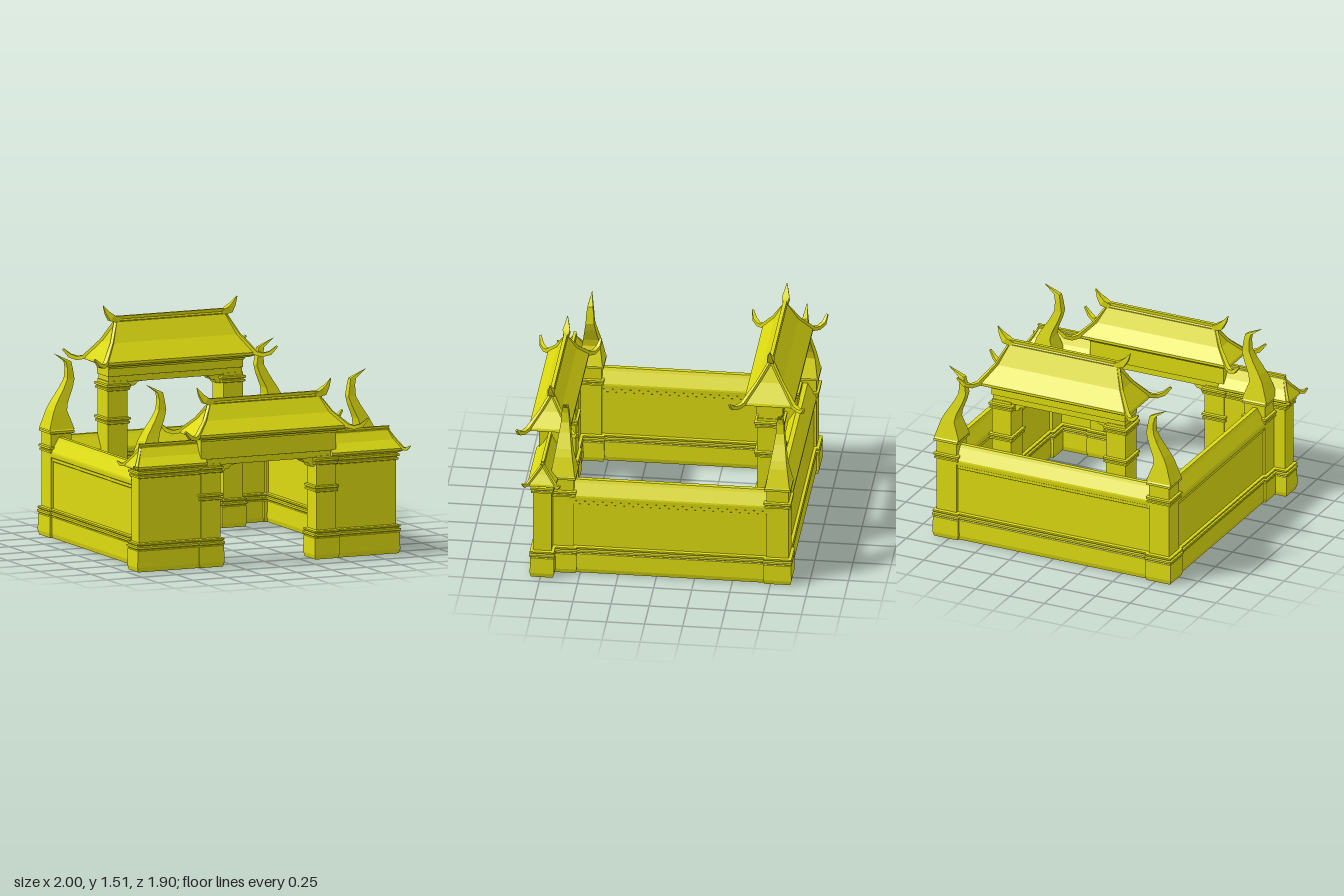
import * as THREE from 'three';

const yellow = new THREE.MeshStandardMaterial({ color: 0xdcda10 });
yellow.name = 'yellow';
const V = (x, y, z) => new THREE.Vector3(x, y, z);

// Flat-faced solid through a list of four-cornered rings, closed at both ends
function solid(name, rings) {
  const tris = [];
  const quad = (a, b, c, d) => tris.push([a, b, c], [a, c, d]);
  for (let i = 0; i < rings.length - 1; i++) {
    for (let k = 0; k < 4; k++) {
      const n = (k + 1) % 4;
      quad(rings[i][k], rings[i][n], rings[i + 1][n], rings[i + 1][k]);
    }
  }
  const last = rings[rings.length - 1];
  quad(...[...rings[0]].reverse());
  quad(...last);
  // Turn the faces outwards whatever the direction of the rings
  let volume = 0;
  for (const [a, b, c] of tris) volume += a.dot(b.clone().cross(c));
  if (volume < 0) tris.forEach((t) => t.reverse());
  const g = new THREE.BufferGeometry().setFromPoints(tris.flat());
  g.computeVertexNormals();
  const mesh = new THREE.Mesh(g, yellow);
  mesh.name = name;
  return mesh;
}

// Upright solid from levels [y, halfX, halfZ, shiftX]
function stack(name, cx, cz, levels) {
  return solid(name, levels.map(([y, hx, hz, dx = 0]) => {
    const x = cx + dx;
    return [V(x - hx, y, cz - hz), V(x + hx, y, cz - hz), V(x + hx, y, cz + hz), V(x - hx, y, cz + hz)];
  }));
}

// Tapering square bar along a path
function bar(name, points, radii) {
  return solid(name, points.map((p, i) => {
    const a = points[Math.max(i - 1, 0)], b = points[Math.min(i + 1, points.length - 1)];
    const dir = b.clone().sub(a).normalize();
    const side = V(0, 1, 0).cross(dir).normalize().multiplyScalar(radii[i]);
    const up = dir.clone().cross(side).normalize().multiplyScalar(radii[i]);
    return [[-1, -1], [1, -1], [1, 1], [-1, 1]].map(([s, u]) =>
      p.clone().addScaledVector(side, s).addScaledVector(up, u));
  }));
}

// Moulded plinth shared by posts, legs and walls: [y, outward offset]
const plinth = [[0, 0.012], [0.03, 0.02], [0.14, 0.018], [0.145, 0.012], [0.152, 0.023], [0.165, 0.023],
  [0.17, 0.012], [0.178, 0.02], [0.188, 0.02], [0.192, 0]];
const grow = (levels, hx, hz) => levels.map(([y, o]) => [y, hx + o, hz + o]);
// Double ring of moulding starting at height y
const bands = (y) => [[y, 0], [y + 0.004, 0.012], [y + 0.016, 0.012], [y + 0.02, 0.004], [y + 0.024, 0.004],
  [y + 0.028, 0.016], [y + 0.042, 0.016], [y + 0.046, 0]];

// Corner post with its curved horn
function cornerPost(s, z) {
  const g = new THREE.Group();
  g.name = 'cornerPost';
  const cx = s * 0.772;
  g.add(stack('postShaft', cx, z, grow([...plinth, ...bands(0.555), [0.68, 0], [0.685, 0.014], [0.7, 0.014], [0.71, 0.006]], 0.073, 0.073)));
  const horn = [[0.708, 0.68, 0.86, 0.08], [0.83, 0.725, 0.82, 0.06], [0.88, 0.715, 0.795, 0.051],
    [0.97, 0.675, 0.738, 0.037], [1.03, 0.656, 0.708, 0.028], [1.1, 0.667, 0.704, 0.024],
    [1.145, 0.675, 0.714, 0.018], [1.2, 0.789, 0.791, 0.001]];
  g.add(stack('postHorn', 0, z, horn.map(([y, a, b, hz]) => [y, (b - a) / 2, hz, s * (a + b) / 2])));
  return g;
}

// Enclosure wall with sloping coping; alongX picks its direction
const wallProfile = [...plinth, [0.5, 0], [0.505, 0.008], [0.525, 0.008], [0.53, 0.016], [0.555, 0.018], [0.567, 0.016], [0.64, -0.03], [0.66, -0.04]];
function wall(name, cx, cz, half, alongX) {
  return stack(name, cx, cz, wallProfile.map(([y, o]) => (alongX ? [y, half, 0.055 + o] : [y, 0.055 + o, half])));
}

// Hipped roof with ridge, hip bars and upturned tips
function gateRoof(y, z, h, d) {
  const g = new THREE.Group();
  g.name = 'gateRoof';
  g.add(stack('roofSlopes', 0, z, [[y - 0.03, 0.485, d * 0.62], [y - 0.015, 0.49, d * 0.66], [y - 0.012, 0.505, d * 0.8],
    [y, 0.53, d * 0.95], [y + 0.005, 0.545, d], [y + 0.022, 0.54, d], [y + h * 0.5, 0.455, d * 0.48], [y + h, 0.39, 0.012]]));
  g.add(stack('roofRidge', 0, z, [[y + h - 0.02, 0.395, 0.012], [y + h, 0.4, 0.016], [y + h + 0.01, 0.4, 0.01], [y + h + 0.03, 0.41, 0.012]]));
  for (const s of [-1, 1]) {
    g.add(bar('ridgeHorn', [V(s * 0.37, y + h, z), V(s * 0.425, y + h + 0.022, z), V(s * 0.455, y + h + 0.058, z), V(s * 0.482, y + h + 0.105, z)],
      [0.016, 0.024, 0.014, 0.002]));
    for (const t of [-1, 1]) {
      g.add(bar('hipBar', [V(s * 0.39, y + h, z), V(s * 0.455, y + h * 0.5, z + t * d * 0.48), V(s * 0.54, y + 0.018, z + t * d),
        V(s * 0.575, y + 0.008, z + t * d * 1.2), V(s * 0.615, y + 0.022, z + t * d * 1.38), V(s * 0.657, y + 0.066, z + t * d * 1.48)],
      [0.01, 0.01, 0.014, 0.013, 0.013, 0.006]));
    }
  }
  return g;
}

// Gate: two moulded legs, beam, stepped brackets and roof
function gate(name, z, beamY, eaveY, rise, depth, legHalf, ringHeights) {
  const g = new THREE.Group();
  g.name = name;
  const shape = new THREE.Shape([[0.36, 0.03], [0.36, -0.06], [0.315, -0.06], [0.3, -0.035], [0.275, -0.032],
    [0.255, -0.01], [0.22, -0.006], [0.2, 0.004], [0.2, 0.03]].map(([x, y]) => new THREE.Vector2(x, y)));
  const bracketGeometry = new THREE.ExtrudeGeometry(shape, { depth: 0.09, bevelEnabled: false }).translate(0, 0, -0.045);
  for (const s of [-1, 1]) {
    g.add(stack('gateLeg', s * 0.415, z, grow([...plinth, ...ringHeights.flatMap(bands), [beamY + 0.01, 0]], 0.07, legHalf)));
    const bracket = new THREE.Mesh(bracketGeometry, yellow);
    bracket.name = 'gateBracket';
    bracket.position.set(0, beamY, z);
    if (s < 0) bracket.rotation.y = Math.PI;
    g.add(bracket);
  }
  g.add(stack('gateBeam', 0, z, [[beamY, 0.48, legHalf - 0.005], [beamY + 0.04, 0.48, legHalf - 0.005], [beamY + 0.042, 0.485, legHalf + 0.004],
    [eaveY - 0.02, 0.485, legHalf + 0.004]]));
  g.add(gateRoof(eaveY, z, rise, depth));
  return g;
}

// Front wing wall with its own small roof, hipped at the outer end
function wing(s) {
  const g = new THREE.Group();
  g.name = 'frontWing';
  const z = 0.74;
  g.add(stack('wingWall', s * 0.69, z, grow([...plinth, ...bands(0.615), [0.68, 0]], 0.235, 0.06)));
  const roof = [[0.665, 0.93, 0.07], [0.675, 0.95, 0.088], [0.68, 0.962, 0.094], [0.695, 0.96, 0.094],
    [0.75, 0.922, 0.045], [0.81, 0.888, 0.012]];
  const spans = (levels) => levels.map(([y, x, hz]) => [y, (x - 0.45) / 2, hz, s * (x + 0.45) / 2]);
  g.add(stack('wingRoof', 0, z, spans(roof)));
  g.add(stack('wingRidge', 0, z, spans([[0.8, 0.89, 0.014], [0.815, 0.9, 0.014], [0.82, 0.895, 0.009], [0.835, 0.9, 0.01]])));
  for (const t of [-1, 1]) {
    g.add(bar('wingHip', [V(s * 0.888, 0.81, z), V(s * 0.922, 0.75, z + t * 0.045), V(s * 0.958, 0.692, z + t * 0.092),
      V(s * 0.978, 0.69, z + t * 0.11), V(s * 0.996, 0.712, z + t * 0.126)], [0.008, 0.008, 0.01, 0.01, 0.004]));
  }
  return g;
}

export function createModel() {
  const model = new THREE.Group();
  model.name = 'walledCourtyard';
  for (const s of [-1, 1]) {
    model.add(cornerPost(s, 0.615), cornerPost(s, -0.795));
    model.add(wall('sideWall', s * 0.775, -0.09, 0.68, false));
    model.add(wing(s));
  }
  model.add(wall('backWall', 0, -0.795, 0.75, true));
  model.add(gate('frontGate', 0.74, 0.67, 0.86, 0.21, 0.135, 0.07, [0.44, 0.62]));
  model.add(gate('backGate', -0.7, 1.01, 1.135, 0.27, 0.165, 0.083, [0.44, 0.735, 0.955]));
  return model;
}
